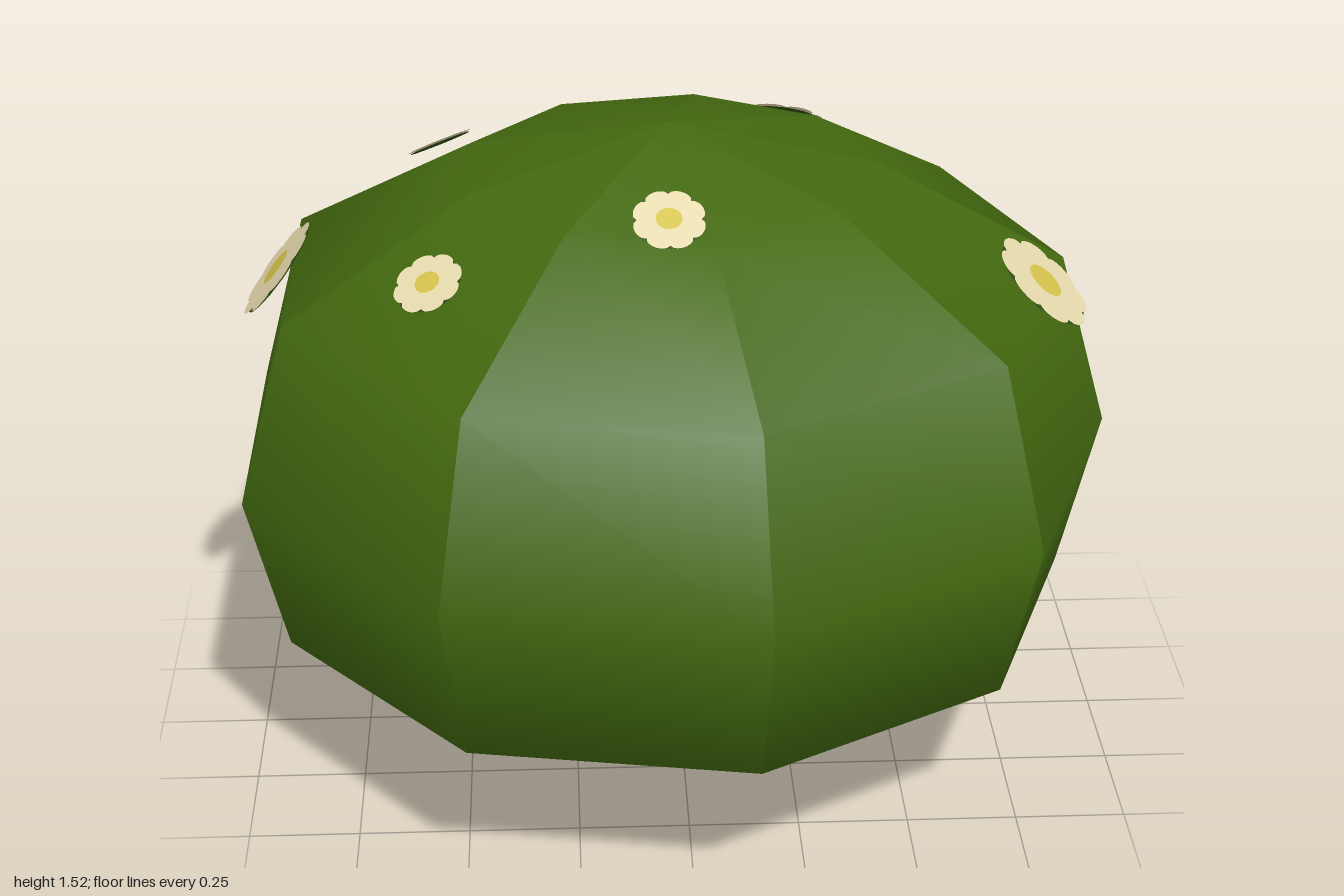
import * as THREE from 'three';
import { mergeGeometries } from 'three/addons/utils/BufferGeometryUtils.js';

const SIDES = 9;
const STEP = (Math.PI * 2) / SIDES;

const mat = (name, color, side = THREE.FrontSide) => {
  const m = new THREE.MeshStandardMaterial({ color, side });
  m.name = name;
  return m;
};

const named = (name, geometry, material) => {
  const mesh = new THREE.Mesh(geometry, material);
  mesh.name = name;
  return mesh;
};

const profile = (pairs) => pairs.map(([r, y]) => new THREE.Vector2(r, y));

// Nine wedges, each smooth from bottom to top with a crease along its sides
function wedgedLathe(pairs) {
  const wedges = [];
  for (let i = 0; i < SIDES; i++) {
    const g = new THREE.LatheGeometry(profile(pairs), 1, Math.PI / 2 + i * STEP, STEP);
    g.computeVertexNormals();
    wedges.push(g);
  }
  return mergeGeometries(wedges);
}

// Flat blossom outline with eight rounded petals
function blossomShape(radius) {
  const pts = [];
  for (let i = 0; i < 64; i++) {
    const a = (i / 64) * Math.PI * 2;
    const r = radius * (0.87 + 0.13 * Math.sqrt(Math.abs(Math.sin(4 * a))));
    pts.push(new THREE.Vector2(r * Math.cos(a), r * Math.sin(a)));
  }
  return new THREE.Shape(pts);
}

export function createModel() {
  const leafGreen = mat('leaf green', 0x43690f);
  const barkBrown = mat('bark brown', 0x744d31);
  const petalCream = mat('petal cream', 0xe4d8ac, THREE.DoubleSide);
  const pollenYellow = mat('pollen yellow', 0xd3c14a);
  const sepalGreen = mat('sepal green', 0x2f4d12, THREE.DoubleSide);

  const model = new THREE.Group();
  model.name = 'floweringBush';

  // Faceted dome of leaves
  const foliage = named('foliage', wedgedLathe([
    [0.345, 0.27], [0.925, 0.4], [1.015, 0.77], [0.9, 1.18], [0.465, 1.42], [0, 1.52],
  ]), leafGreen);
  foliage.position.x = -0.027;
  model.add(foliage);

  // Brown cap closing the underside of the dome
  const underside = named('foliageUnderside', new THREE.CircleGeometry(0.345, SIDES), barkBrown);
  underside.rotation.x = Math.PI / 2;
  underside.position.set(-0.027, 0.27, 0);
  model.add(underside);

  // Trunk with flared foot
  model.add(named('trunk', wedgedLathe([[0.157, 0], [0.085, 0.065], [0.055, 0.3]]), barkBrown));
  const foot = named('trunkBase', new THREE.CircleGeometry(0.157, SIDES), barkBrown);
  foot.rotation.x = Math.PI / 2;
  model.add(foot);

  // Blossoms: position, facing direction, radius
  const blossoms = [
    [[0.27, 1.25, -0.75], [0.1, 0.8, -0.58], 0.12],
    [[-0.55, 1.31, -0.46], [-0.35, 0.85, -0.35], 0.08],
    [[-0.91, 1.17, -0.04], [-0.78, 0.62, 0], 0.126],
    [[-0.55, 1.32, 0.41], [-0.33, 0.84, 0.43], 0.078],
    [[-0.04, 1.455, 0.41], [0, 0.87, 0.5], 0.079],
    [[0.79, 1.225, 0.24], [0.6, 0.77, 0.2], 0.126],
  ];
  const forward = new THREE.Vector3(0, 0, 1);
  blossoms.forEach(([pos, dir, radius], i) => {
    const flower = new THREE.Group();
    flower.name = `flower${i + 1}`;
    const sepals = named('sepals', new THREE.CircleGeometry(radius * 0.95, 16), sepalGreen);
    const petals = named('petals', new THREE.ShapeGeometry(blossomShape(radius)), petalCream);
    const centre = named('flowerCentre', new THREE.CircleGeometry(radius * 0.36, 16), pollenYellow);
    sepals.position.z = -0.004;
    centre.position.z = 0.004;
    flower.add(sepals, petals, centre);
    flower.position.set(...pos);
    flower.quaternion.setFromUnitVectors(forward, new THREE.Vector3(...dir).normalize());
    model.add(flower);
  });

  return model;
}
